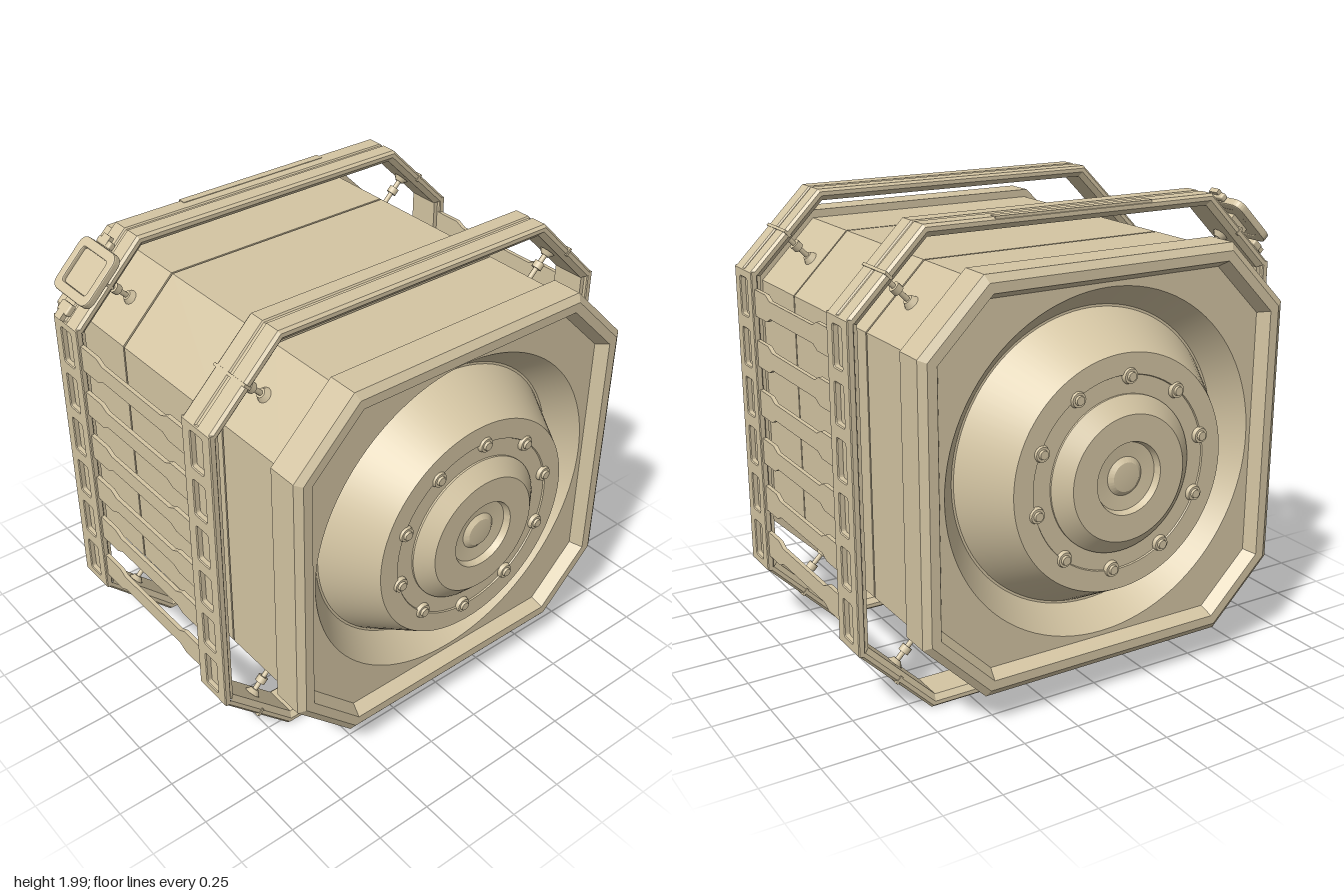
import * as THREE from 'three';
import { toCreasedNormals } from 'three/addons/utils/BufferGeometryUtils.js';
import { RoundedBoxGeometry } from 'three/addons/geometries/RoundedBoxGeometry.js';

const mat = new THREE.MeshStandardMaterial({ color: 0xd4c5a3 });

function add(parent, name, geo, x = 0, y = 0, z = 0) {
  const m = new THREE.Mesh(geo, mat);
  m.name = name;
  m.position.set(x, y, z);
  parent.add(m);
  return m;
}

// Corners (y, z) of a chamfered square, h = half size, k = half length of a flat side
const octagon = (h, k) => [[h, -k], [h, k], [k, h], [-k, h], [-h, k], [-h, -k], [-k, -h], [k, -h]];

// Sweeps a profile of [x, h] around the octagon; k0 belongs to the size h0
function octLoft(profile, h0, k0, skip = []) {
  const rings = profile.map(([x, h]) => octagon(h, k0 - 0.414 * (h0 - h)).map(([y, z]) => [x, y, z]));
  const pos = [];
  for (let j = 0; j < rings.length - 1; j++) {
    for (let i = 0; i < 8; i++) {
      if (skip.includes(i)) continue;
      const n = (i + 1) % 8;
      const a = rings[j][i], b = rings[j + 1][i], c = rings[j + 1][n], d = rings[j][n];
      pos.push(...a, ...d, ...c, ...a, ...c, ...b);
    }
  }
  const g = new THREE.BufferGeometry();
  g.setAttribute('position', new THREE.Float32BufferAttribute(pos, 3));
  g.computeVertexNormals();
  return g;
}

const polygon = (pts) => new THREE.Shape(pts.map(([x, y]) => new THREE.Vector2(x, y)));

function roundRect(w, h, r, Type = THREE.Shape) {
  const s = new Type(), x = w / 2, y = h / 2;
  s.moveTo(-x + r, -y);
  s.lineTo(x - r, -y); s.quadraticCurveTo(x, -y, x, -y + r);
  s.lineTo(x, y - r); s.quadraticCurveTo(x, y, x - r, y);
  s.lineTo(-x + r, y); s.quadraticCurveTo(-x, y, -x, y - r);
  s.lineTo(-x, -y + r); s.quadraticCurveTo(-x, -y, -x + r, -y);
  return s;
}

// One end of the drum: chamfered rim, recessed plate, stepped hub and bolts
function makeEnd() {
  const end = new THREE.Group();
  add(end, 'endRim', octLoft([[0.70, 0.80], [0.70, 0.845], [0.832, 0.845], [0.853, 0.815],
    [0.853, 0.775], [0.80, 0.745]], 0.845, 0.57));

  const plate = polygon(octagon(0.745, 0.57 - 0.414 * 0.1));
  plate.holes.push(new THREE.Path().absarc(0, 0, 0.725, 0, Math.PI * 2, true));
  add(end, 'endPlate', new THREE.ShapeGeometry(plate, 48).rotateY(Math.PI / 2), 0.80);

  const profile = [[0.725, 0.80], [0.63, 0.68], [0.62, 0.68], [0.49, 0.906], [0.403, 0.906],
    [0.40, 0.900], [0.325, 0.900], [0.325, 0.908], [0.26, 0.963], [0.15, 0.963], [0.14, 0.935],
    [0.08, 0.93], [0.06, 0.945], [0, 0.95]].map(([r, y]) => new THREE.Vector2(r, y));
  const hub = toCreasedNormals(new THREE.LatheGeometry(profile, 96), 0.4);
  add(end, 'hub', hub.rotateZ(-Math.PI / 2));

  for (let i = 0; i < 10; i++) {
    const a = 0.08 + i * Math.PI / 5;
    const y = 0.397 * Math.cos(a), z = -0.397 * Math.sin(a);
    add(end, 'boltWasher', new THREE.CylinderGeometry(0.03, 0.035, 0.016, 16).rotateZ(-Math.PI / 2), 0.908, y, z);
    add(end, 'boltHead', new THREE.CylinderGeometry(0.018, 0.021, 0.012, 12).rotateZ(-Math.PI / 2), 0.92, y, z);
  }
  return end;
}

// Octagonal carrying frame with windowed uprights front and back
function makeFrame() {
  const frame = new THREE.Group();
  const H = 0.9925, K = 0.672;
  add(frame, 'frameRing', octLoft([[-0.092, 0.965], [-0.092, 0.982], [-0.08, H], [-0.012, H], [-0.007, 0.986],
    [0.007, 0.986], [0.012, H], [0.08, H], [0.092, 0.982], [0.092, 0.965], [0.072, 0.943],
    [-0.072, 0.943], [-0.092, 0.965]], H, K, [2, 6]));

  const face = polygon([[-0.088, -K], [0.088, -K], [0.088, K], [-0.088, K]]);
  for (let i = 0; i < 6; i++) {
    const pts = roundRect(0.085, 0.172, 0.015, THREE.Path).getPoints(3);
    const y = (i - 2.5) * 0.2225;
    face.holes.push(new THREE.Path(pts.map(p => new THREE.Vector2(p.x, p.y + y)).reverse()));
  }
  const faceGeo = new THREE.ExtrudeGeometry(face, { depth: 0.02, bevelEnabled: true,
    bevelSize: 0.004, bevelThickness: 0.004, bevelSegments: 1 });
  for (const turn of [0, Math.PI]) {
    const side = new THREE.Group();
    side.name = 'upright';
    side.rotation.y = turn;
    add(side, 'uprightFace', faceGeo, 0, 0, H - 0.024);
    add(side, 'uprightBack', new THREE.BoxGeometry(0.148, 2 * K, 0.025), 0, 0, H - 0.036);
    frame.add(side);
  }

  // Chamfer joints and the pins that hold the frame off the drum
  for (let q = 0; q < 4; q++) {
    const corner = new THREE.Group();
    corner.name = 'cornerMount';
    corner.rotation.x = Math.PI / 4 + q * Math.PI / 2;
    add(corner, 'joint', new THREE.BoxGeometry(0.192, 0.036, 0.012), 0, 1.162, 0);
    add(corner, 'pin', new THREE.CylinderGeometry(0.011, 0.011, 0.2, 12), 0, 1.04, 0);
    add(corner, 'pinFoot', new THREE.CylinderGeometry(0.02, 0.035, 0.03, 12), 0, 0.975, 0);
    add(corner, 'pinCollar', new THREE.CylinderGeometry(0.023, 0.023, 0.03, 12), 0, 1.055, 0);
    add(corner, 'pinHead', new THREE.CylinderGeometry(0.035, 0.018, 0.02, 12), 0, 1.115, 0);
    frame.add(corner);
  }
  return frame;
}

// Framed panel clipped to the upper front chamfer; local y runs up the slope
function makePanel() {
  const panel = new THREE.Group();
  const rim = roundRect(0.25, 0.235, 0.04);
  rim.holes.push(roundRect(0.195, 0.175, 0.025, THREE.Path));
  add(panel, 'panelRim', new THREE.ExtrudeGeometry(rim, { depth: 0.022, bevelEnabled: true,
    bevelSize: 0.006, bevelThickness: 0.006, bevelSegments: 2, curveSegments: 6 }), 0, 0, -0.011);
  add(panel, 'panelScreen', new THREE.BoxGeometry(0.2, 0.18, 0.014), 0, 0, -0.008);
  add(panel, 'panelMount', new THREE.BoxGeometry(0.11, 0.1, 0.05), 0, 0, -0.035);
  add(panel, 'upperClip', new RoundedBoxGeometry(0.095, 0.03, 0.03, 2, 0.008), 0, 0.14, 0);
  add(panel, 'upperClipTab', new THREE.BoxGeometry(0.05, 0.04, 0.02), 0, 0.152, 0.006);
  add(panel, 'lowerLatch', new RoundedBoxGeometry(0.075, 0.05, 0.03, 2, 0.008), 0, -0.165, -0.012);
  add(panel, 'lowerLatchTab', new THREE.BoxGeometry(0.045, 0.035, 0.022), 0, -0.2, -0.008);
  return panel;
}

export function createModel() {
  const model = new THREE.Group();
  const body = new THREE.Group();
  body.name = 'container';
  body.position.set(0, 0.9925, -0.006);
  model.add(body);

  // Drum with two shallow seams
  add(body, 'drum', octLoft([[-0.71, 0.81], [-0.357, 0.81], [-0.357, 0.80], [-0.348, 0.80], [-0.348, 0.81],
    [0.342, 0.81], [0.342, 0.80], [0.35, 0.80], [0.35, 0.81], [0.71, 0.81]], 0.81, 0.556));

  for (const [name, turn] of [['leftEnd', 0], ['rightEnd', Math.PI]]) {
    const end = makeEnd();
    end.name = name;
    end.rotation.y = turn;
    body.add(end);
  }

  for (const [name, x] of [['rightFrame', -0.488], ['leftFrame', 0.447]]) {
    const frame = makeFrame();
    frame.name = name;
    frame.position.x = x;
    body.add(frame);
  }

  // Waisted crossbars joining the frames, front and back
  const half = [[-0.385, 0.057], [-0.255, 0.057], [-0.215, 0.037], [0.215, 0.037], [0.255, 0.057], [0.385, 0.057]];
  const bar = polygon([...half.map(([x, y]) => [x, -y]), ...half.slice().reverse()]);
  const barGeo = new THREE.ExtrudeGeometry(bar, { depth: 0.018, bevelEnabled: false });
  for (let i = 0; i < 6; i++) {
    for (const z of [0.963, -0.981]) add(body, 'crossbar', barGeo, -0.02, (i - 2.5) * 0.2185, z);
  }

  // Grip strip along the top of one frame
  add(body, 'topStrip', new THREE.BoxGeometry(0.036, 0.02, 0.73), -0.56, 0.985, -0.006);

  const panel = makePanel();
  panel.name = 'panel';
  panel.position.set(-0.488, 0.862, 0.868);
  panel.rotation.x = -Math.PI / 4;
  body.add(panel);
  return model;
}
